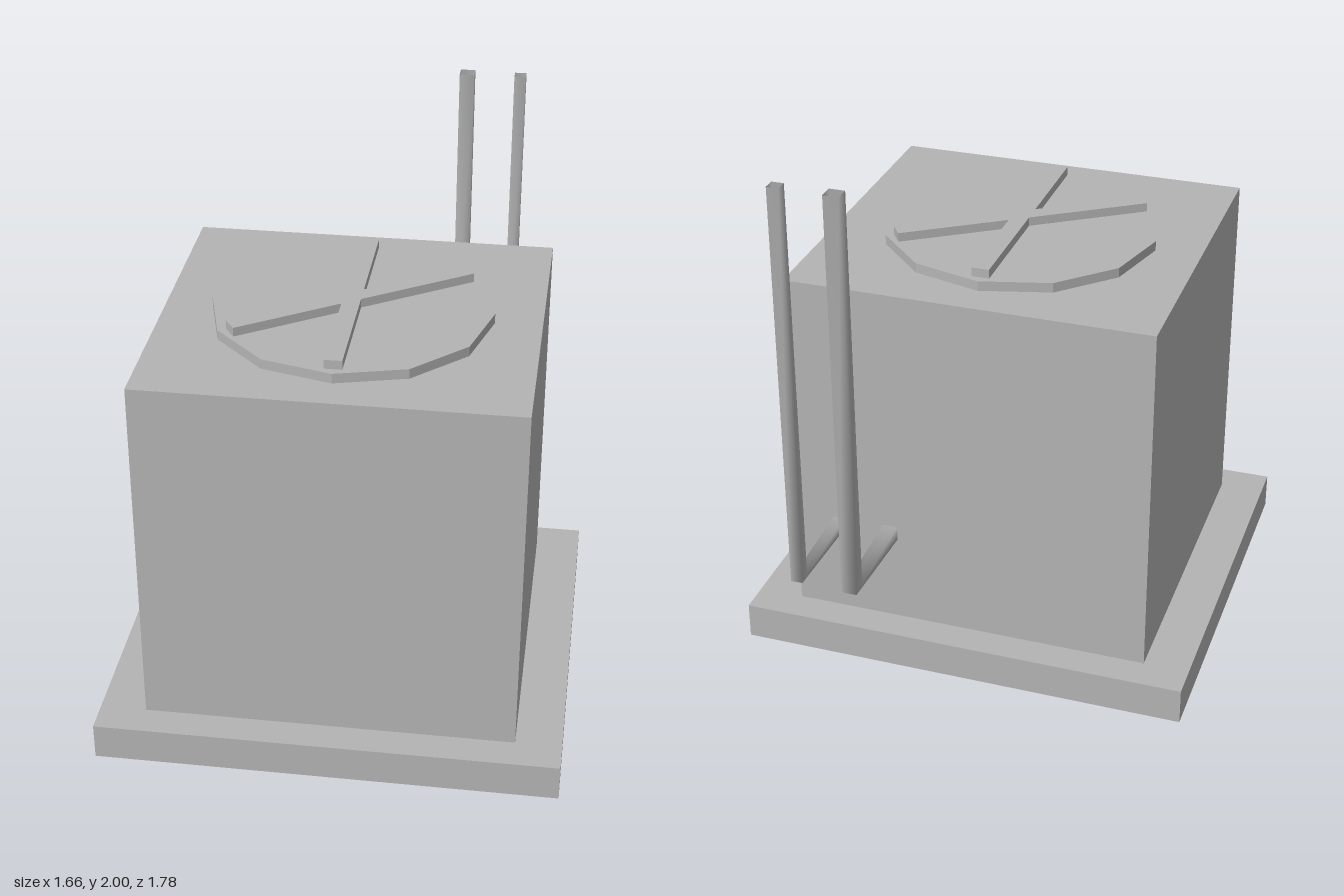
import * as THREE from 'three';

const CZ = 0.137; // housing centre in z; the pipes extend behind it

// Box without its underside
function openBox(w, h, d) {
  const geo = new THREE.BoxGeometry(w, h, d);
  const index = Array.from(geo.index.array);
  index.splice(18, 6);
  geo.clearGroups();
  geo.setIndex(index);
  return geo;
}

// Open square pipe, pinched where it turns upward
function pipeGeometry(h) {
  // each section: y, z of its centre, then y, z of its half-depth
  const sections = [
    [0.5, -0.485, h, 0],
    [0.5, -0.862, h * 0.19, h],
    [2, -0.862, 0, h],
  ];
  const corners = [[-1, -1], [1, -1], [1, 1], [-1, 1]];
  const pos = [], index = [];
  for (const [y, z, vy, vz] of sections)
    for (const [u, v] of corners) pos.push(u * h, y + v * vy, z + v * vz);
  for (let r = 0; r < sections.length - 1; r++)
    for (let k = 0; k < 4; k++) {
      const a = r * 4 + k, b = r * 4 + (k + 1) % 4;
      index.push(a, a + 4, b, b, a + 4, b + 4);
    }
  const geo = new THREE.BufferGeometry();
  geo.setAttribute('position', new THREE.Float32BufferAttribute(pos, 3));
  geo.setIndex(index);
  geo.computeVertexNormals();
  return geo;
}

export function createModel() {
  const model = new THREE.Group();
  const grey = new THREE.MeshStandardMaterial({ color: 0xb4b4b4, side: THREE.DoubleSide });
  grey.name = 'light grey';

  function add(name, geo, x, y, z) {
    const mesh = new THREE.Mesh(geo, grey);
    mesh.name = name;
    mesh.position.set(x, y, z);
    model.add(mesh);
    return mesh;
  }

  // Plinth and housing
  add('basePlinth', openBox(1.664, 0.135, 1.498), 0, 0.0675, CZ);
  add('housing', openBox(1.332, 1.331, 1.262), 0, 0.8005, CZ);

  // Twelve-sided fan cover with two crossing bars
  const disc = new THREE.CylinderGeometry(0.499, 0.499, 0.036, 12).toNonIndexed();
  disc.computeVertexNormals();
  add('fanCover', disc, 0, 1.484, CZ);
  for (const [name, angle] of [['straightBar', Math.PI / 2], ['slantedBar', 0.597]])
    add(name, new THREE.BoxGeometry(0.934, 0.034, 0.063), 0, 1.518, CZ).rotation.y = angle;

  // Rear pipes
  add('thickPipe', pipeGeometry(0.0275), 0.298, 0, 0);
  add('thinPipe', pipeGeometry(0.0215), 0.498, 0, 0);

  return model;
}
